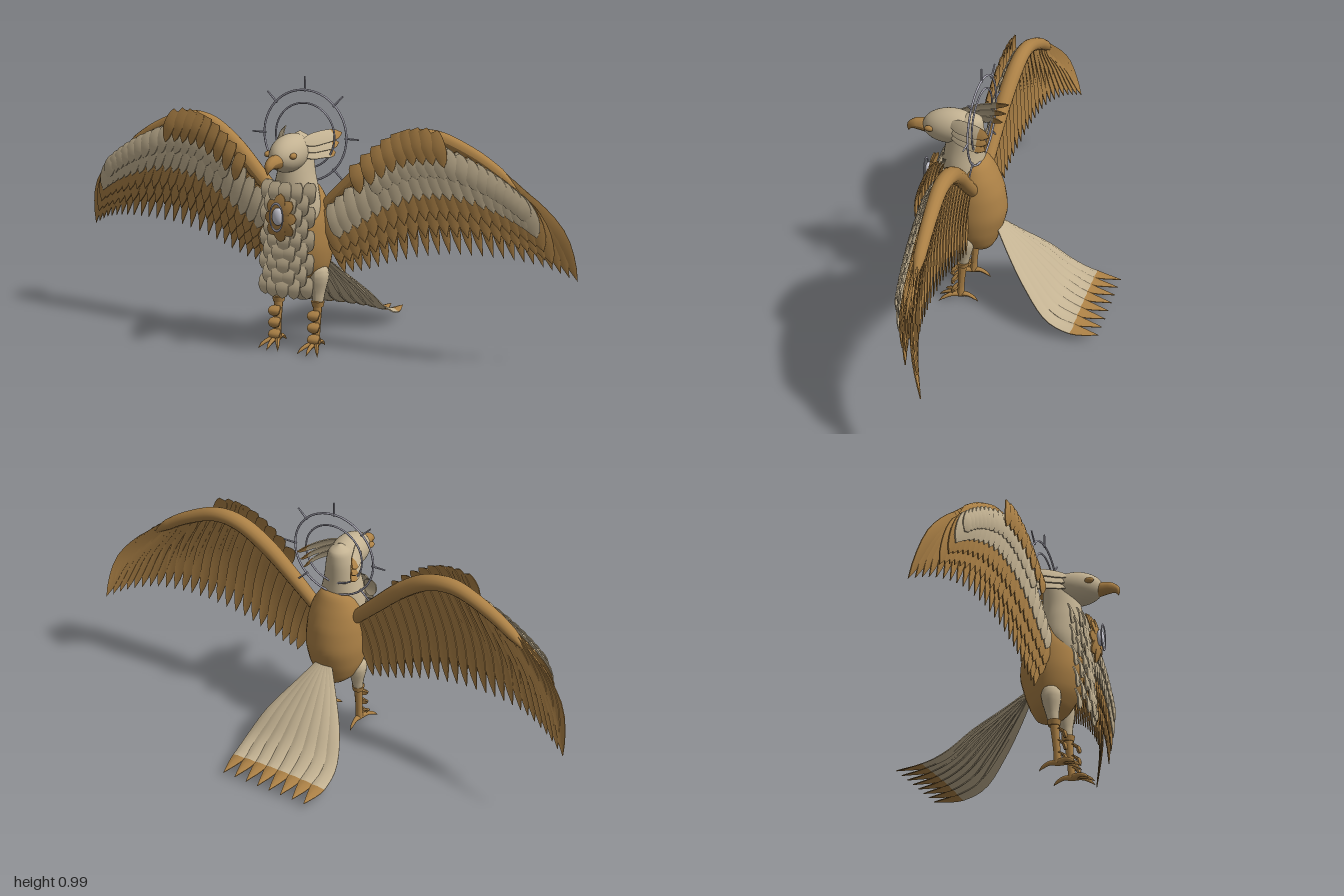
import * as THREE from 'three';
import { mergeGeometries } from 'three/addons/utils/BufferGeometryUtils.js';

const mat = (name, color) => Object.assign(new THREE.MeshStandardMaterial({ color, side: THREE.DoubleSide }), { name });
const V = (x, y, z) => new THREE.Vector3(x, y, z);
const lerp = THREE.MathUtils.lerp;
const curve = (pts) => new THREE.CatmullRomCurve3(pts.map((p) => (p.isVector3 ? p : V(...p))));

// piecewise linear lookup in an evenly spaced list
function pick(list, t) {
  const f = t * (list.length - 1), i = Math.min(Math.floor(f), list.length - 2);
  return lerp(list[i], list[i + 1], f - i);
}

// smooth geometry from plain position and index lists
function build(pos, idx) {
  const g = new THREE.BufferGeometry();
  g.setAttribute('position', new THREE.Float32BufferAttribute(pos, 3));
  g.setIndex(idx);
  g.computeVertexNormals();
  return g;
}

// closed smooth skin through rings of [centre y, centre z, radius x, radius z]
function loft(rings, sides = 28) {
  const pos = [], idx = [];
  const path = new THREE.CatmullRomCurve3(rings.map((r) => V(r[0], r[1], 0)));
  const radii = new THREE.CatmullRomCurve3(rings.map((r) => V(r[2], r[3], 0)));
  const n = rings.length * 4;
  for (let i = 0; i <= n; i++) {
    const c = path.getPoint(i / n), r = radii.getPoint(i / n);
    for (let j = 0; j < sides; j++) {
      const a = (j / sides) * Math.PI * 2;
      pos.push(Math.sin(a) * r.x, c.x, c.y + Math.cos(a) * r.y);
      if (i === n) continue;
      const k = (j + 1) % sides, p = i * sides;
      idx.push(p + j, p + k, p + sides + k, p + j, p + sides + k, p + sides + j);
    }
  }
  return build(pos, idx);
}

// tube whose radius follows a list
function taper(pts, radii, seg = 24, sides = 12) {
  const c = curve(pts), g = new THREE.TubeGeometry(c, seg, 1, sides), p = g.attributes.position, v = V(0, 0, 0);
  for (let i = 0; i < p.count; i++) {
    const t = Math.floor(i / (sides + 1)) / seg, o = c.getPointAt(t);
    v.fromBufferAttribute(p, i).sub(o).multiplyScalar(pick(radii, t)).add(o);
    p.setXYZ(i, v.x, v.y, v.z);
  }
  g.computeVertexNormals();
  return g;
}

// cambered feather blade with a thin rim along a curve, cut to the span t0..t1
const LEAF = [0.5, 0.85, 1, 1, 1, 0.98, 0.88, 0.65, 0];
const POINTED = [0.7, 0.95, 1, 1, 0.98, 0.9, 0.75, 0.5, 0];
function feather(c, width, normal, { shape = LEAF, t0 = 0, t1 = 1, seg = 8, camber = 0.1, thick = 0.004 } = {}) {
  const pos = [], idx = [];
  for (let i = 0; i <= seg; i++) {
    const t = lerp(t0, t1, i / seg), p = c.getPoint(t);
    const side = c.getTangent(t).cross(normal).normalize(), h = (width / 2) * pick(shape, t);
    const top = [-1, 0, 1].map((j) => p.clone().addScaledVector(side, j * h).addScaledVector(normal, j ? 0 : h * 2 * camber));
    const low = top.map((q) => q.clone().addScaledVector(normal, -thick)).reverse();
    // upper face, rim, lower face and rim again, each with its own corners
    for (const q of [...top, top[2], low[0], ...low, low[2], top[0]]) pos.push(q.x, q.y, q.z);
    if (i === seg) continue;
    for (const j of [0, 1, 3, 5, 6, 8]) {
      const a = i * 10 + j;
      idx.push(a, a + 1, a + 11, a, a + 11, a + 10);
    }
  }
  return build(pos, idx);
}
// feather from a to b, bowed along its normal
function bowed(a, b, width, normal, bow, opts) {
  return feather(curve([a, a.clone().lerp(b, 0.5).addScaledVector(normal, bow), b]), width, normal, opts);
}

export function createModel() {
  const model = new THREE.Group();
  const brown = mat('golden brown', 0xac8146), cream = mat('cream', 0xc3b292);
  const silver = mat('silver', 0xa5a3b0), gemGrey = mat('pale gem', 0xc6c6d0);
  const add = (name, geo, m, parent = model) => {
    const mesh = new THREE.Mesh(Array.isArray(geo) ? mergeGeometries(geo) : geo, m);
    mesh.name = name;
    parent.add(mesh);
    return mesh;
  };
  const ball = (name, m, [x, y, z], [rx, ry, rz]) => {
    const b = add(name, new THREE.SphereGeometry(1, 28, 20), m);
    b.position.set(x, y, z);
    b.scale.set(rx, ry, rz);
    return b;
  };

  // torso, neck and head
  add('torso', loft([[0.215, 0.12, 0, 0], [0.225, 0.12, 0.04, 0.04], [0.26, 0.127, 0.08, 0.07], [0.32, 0.135, 0.107, 0.1],
    [0.4, 0.135, 0.117, 0.117], [0.48, 0.135, 0.112, 0.108], [0.55, 0.13, 0.095, 0.078], [0.61, 0.13, 0.06, 0.045], [0.63, 0.13, 0, 0]]), brown);
  add('neck', loft([[0.43, 0.19, 0, 0], [0.46, 0.19, 0.075, 0.055], [0.53, 0.18, 0.092, 0.076], [0.6, 0.18, 0.082, 0.078],
    [0.66, 0.178, 0.068, 0.073], [0.73, 0.168, 0.056, 0.064], [0.78, 0.155, 0.04, 0.045], [0.805, 0.15, 0, 0]]), cream);
  ball('head', cream, [0, 0.737, 0.23], [0.062, 0.066, 0.108]).rotation.x = 0.12;
  add('beak', taper([[0, 0.718, 0.31], [0, 0.722, 0.345], [0, 0.718, 0.374], [0, 0.705, 0.39], [0, 0.684, 0.396]],
    [0.026, 0.025, 0.022, 0.015, 0]), brown);

  // halo with eight short rays
  const halo = new THREE.Group();
  halo.name = 'halo';
  halo.position.set(0, 0.78, 0.11);
  model.add(halo);
  add('haloOuterRing', new THREE.TorusGeometry(0.165, 0.004, 8, 64), silver, halo);
  add('haloInnerRing', new THREE.TorusGeometry(0.118, 0.0035, 8, 64), silver, halo);
  for (let i = 0; i < 8; i++) {
    const ray = add('haloRay', new THREE.CylinderGeometry(0.003, 0.004, 0.055, 6).translate(0, 0.186, 0), silver, halo);
    ray.rotation.z = (i * Math.PI) / 4;
  }

  // breast scales in staggered rows
  const scales = [];
  for (let r = 0; r < 9; r++) {
    const n = r % 2 ? 4 : 5;
    for (let k = 0; k < n; k++) {
      const x = (k - (n - 1) / 2) * 0.042, y = 0.635 - r * 0.0425, z = 0.26 + 0.022 * (r / 8) - 4 * x * x;
      scales.push(bowed(V(x, y, z), V(x, y - 0.078, z + 0.01), 0.05, V(0, 0, 1), 0.008, { camber: 0.05, thick: 0.005 }));
    }
  }
  add('breastFeathers', scales, cream);

  // pendant: petals, frame and gem
  const petals = [];
  for (let i = 0; i < 8; i++) {
    const a = (i * Math.PI) / 4, c = Math.cos(a), s = Math.sin(a);
    petals.push(bowed(V(c * 0.01, 0.515 + s * 0.015, 0.314), V(c * 0.062, 0.515 + s * 0.088, 0.302), 0.044, V(0, 0, 1), 0.003, { camber: 0.05, thick: 0.006 }));
  }
  add('pendantPetals', petals, brown);
  ball('pendantGem', gemGrey, [0, 0.524, 0.322], [0.022, 0.032, 0.014]);
  const frame = add('pendantFrame', new THREE.TorusGeometry(0.026, 0.0025, 8, 32), silver);
  frame.position.set(0, 0.524, 0.333);
  frame.scale.y = 1.9;

  for (const s of [1, -1]) {
    const side = s > 0 ? 'left' : 'right';
    // eye and swept-back ear plumes
    ball(side + 'Eye', brown, [s * 0.05, 0.74, 0.298], [0.011, 0.011, 0.018]);
    const up = V(s * 0.75, 0.55, 0.35).normalize(), creamEar = [], brownEar = [];
    for (let k = 0; k < 3; k++) {
      const c = curve([[s * 0.05, 0.775 - k * 0.022, 0.21], [s * 0.085, 0.785 - k * 0.026, 0.135], [s * (0.118 - k * 0.008), 0.79 - k * 0.035, 0.045 + k * 0.01]]);
      creamEar.push(feather(c, 0.05, up, { t1: 0.75 }));
      brownEar.push(feather(c, 0.05, up, { t0: 0.75 }));
    }
    add(side + 'EarPlumes', creamEar, cream);
    add(side + 'EarPlumeTips', brownEar, brown);

    // wing arm and the line of feather tips
    const armPts = [[0.07, 0.51, 0.125], [0.17, 0.61, 0.12], [0.29, 0.725, 0.11], [0.4, 0.795, 0.1], [0.5, 0.807, 0.096], [0.63, 0.76, 0.09], [0.73, 0.7, 0.085], [0.81, 0.635, 0.08]]
      .map(([x, y, z]) => V(s * x, y, z));
    const arm = curve(armPts);
    const tips = curve([[0.145, 0.285, 0.125], [0.26, 0.315, 0.125], [0.38, 0.36, 0.12], [0.52, 0.395, 0.11], [0.66, 0.405, 0.1], [0.79, 0.4, 0.08], [0.9, 0.375, 0.042], [0.995, 0.33, 0]]
      .map(([x, y, z]) => V(s * x, y, z)));
    add(side + 'WingArm', taper(armPts, [0.024, 0.027, 0.029, 0.031, 0.031, 0.029, 0.026, 0.024, 0.021, 0], 60, 14), brown);

    // feather rows: name, colour, count, span along arm, span from arm to tips, depth, width, outline
    const rows = [
      ['FlightFeathers', brown, 25, 0.03, 1, 0, 1, 0, 0.052, POINTED],
      ['SecondaryFeathers', brown, 23, 0.04, 0.94, 0.1, 0.84, 0.02, 0.054, LEAF],
      ['GreaterCoverts', brown, 22, 0.05, 0.94, 0.06, 0.69, 0.034, 0.054, LEAF],
      ['MedianCoverts', cream, 21, 0.08, 0.96, 0.05, 0.51, 0.046, 0.054, LEAF],
      ['LesserCoverts', cream, 17, 0.28, 0.96, 0.05, 0.33, 0.056, 0.054, LEAF],
      ['Scapulars', brown, 9, 0.22, 0.6, -0.09, 0.21, 0.068, 0.05, POINTED],
    ];
    for (const [name, m, n, u0, u1, r0, r1, dz, w, shape] of rows) {
      const list = [];
      for (let i = 0; i < n; i++) {
        const u = lerp(u0, u1, i / (n - 1)), a = arm.getPoint(u), b = tips.getPoint(u);
        const p = a.clone().lerp(b, r0), q = a.clone().lerp(b, r1);
        p.z += dz * 0.85;
        // coverts hang straight down, flight feathers sweep back
        q.z = dz > 0 ? lerp(q.z, a.z, 0.5) + dz : q.z;
        const mid = p.clone().lerp(q, 0.5).add(V(s * 0.03 * u * (r1 - r0), 0.02 * u * (r1 - r0), 0.006));
        list.push(feather(curve([p, mid, q]), w, V(s * 0.16, 0, 1).normalize(), { shape }));
      }
      add(side + name, list, m);
    }

    // leg, cuff and shin scales
    const x = s * 0.08;
    add(side + 'Thigh', taper([[s * 0.07, 0.325, 0.155], [x, 0.29, 0.157], [x, 0.23, 0.16], [x, 0.17, 0.166]], [0, 0.034, 0.037, 0.034, 0.029, 0.024, 0.021, 0.018]), cream);
    add(side + 'Shank', taper([[x, 0.19, 0.167], [x, 0.1, 0.174], [x, 0.025, 0.18]], [0.018, 0.016, 0.014, 0.013, 0.015]), brown);
    const cuff = add(side + 'Cuff', new THREE.CylinderGeometry(0.025, 0.021, 0.02, 20), brown);
    cuff.position.set(x, 0.177, 0.167);
    const shin = [];
    for (let k = 0; k < 3; k++) {
      const y = 0.155 - k * 0.045;
      shin.push(bowed(V(x, y, 0.188), V(x, y - 0.036, 0.21), 0.046, V(0, 0.3, 1).normalize(), 0.01, { thick: 0.007 }));
    }
    add(side + 'ShinScales', shin, brown);
    // three front toes and a hind toe
    const toes = [-0.5, 0, 0.5, Math.PI].map((a) => {
      const len = a > 3 ? 0.072 : 0.086, at = (d, y) => [x + Math.sin(a) * d, y, 0.18 + Math.cos(a) * d];
      return taper([at(0, 0.028), at(len * 0.45, 0.029), at(len * 0.8, 0.017), at(len, 0.003)], [0.013, 0.01, 0.008, 0.006, 0], 16, 8);
    });
    add(side + 'Toes', toes, brown);
  }

  // fanned tail with pointed brown tips
  const tail = [], tailTips = [], shape = [0.35, 0.5, 0.65, 0.8, 0.92, 1, 1, 1, 1, 0.98, 0.55, 0];
  for (let i = 0; i < 8; i++) {
    const k = (i - 3.5) / 3.5, d = 0.022 * k * k;
    const c = curve([[k * 0.02, 0.34, 0.045], [k * 0.075, 0.275 - d, -0.03], [k * 0.135, 0.182 - d, -0.12],
      [k * 0.17, 0.097 - d, -0.205], [k * 0.174, 0.05 - d * 0.3, -0.29], [k * 0.175, 0.038, -0.395]]);
    const n = V(k * 0.1, 0.8, -0.55).normalize();
    tail.push(feather(c, 0.056, n, { shape, t1: 0.8, seg: 14, camber: 0.2 }));
    tailTips.push(feather(c, 0.056, n, { shape, t0: 0.8, seg: 4, camber: 0.2 }));
  }
  add('tailFeathers', tail, cream);
  add('tailTips', tailTips, brown);
  return model;
}
